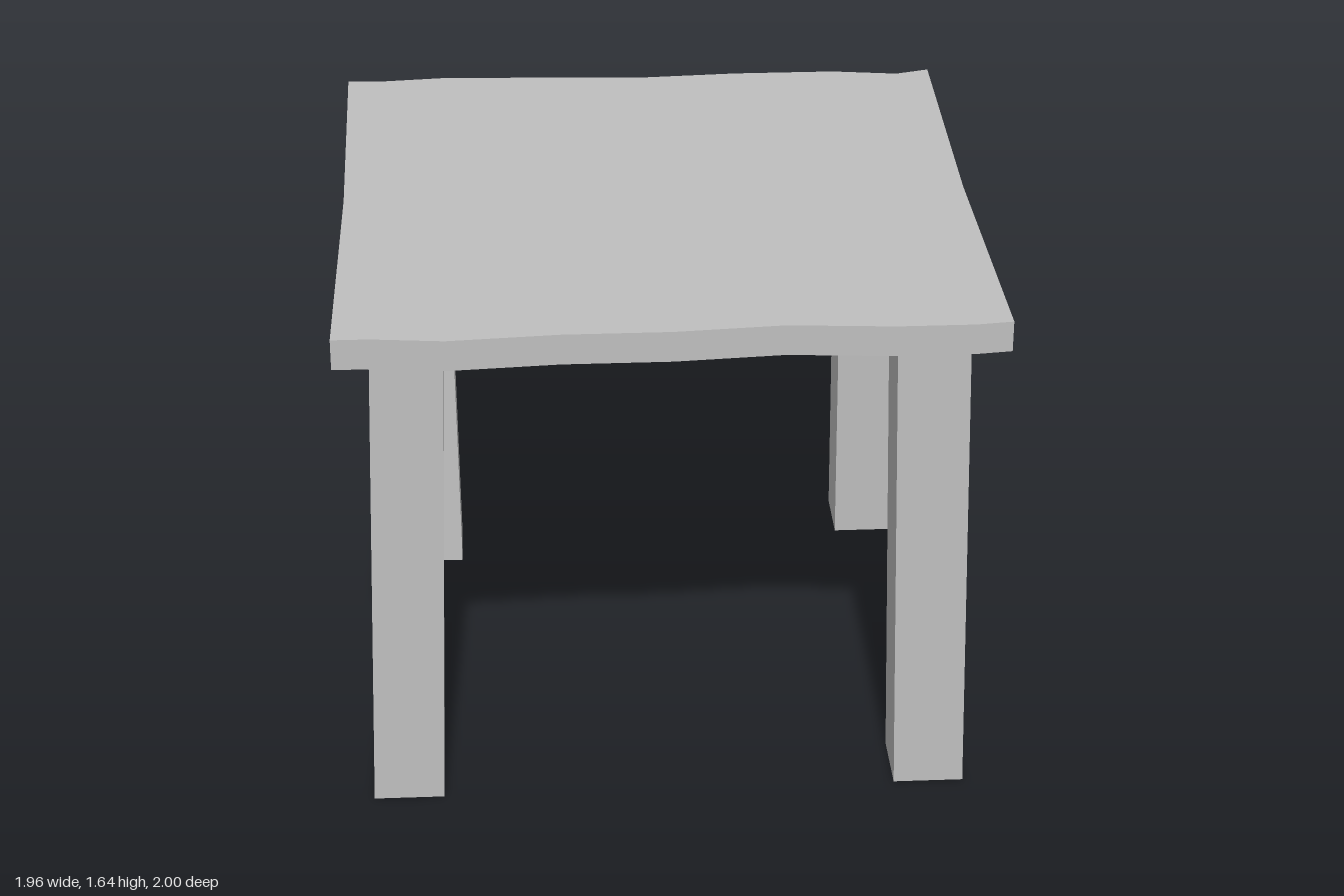
import * as THREE from 'three';

export function createModel() {
  const model = new THREE.Group();
  const grey = new THREE.MeshStandardMaterial({ color: 0xbfbfbf });
  grey.name = 'plainGrey';
  grey.flatShading = true;

  const topY = 1.64, underY = 1.545;

  // Slab with wavy front and back edges and slightly pinched sides, as [x, z]
  const outline = [
    [-0.98, 0.973], [-0.87, 0.973], [-0.655, 0.997], [-0.325, 0.973], [0, 0.973],
    [0.325, 0.948], [0.64, 0.973], [0.87, 0.973], [0.98, 0.96],
    [0.966, 0],
    [0.98, -0.987], [0.87, -0.955], [0.655, -0.987], [0.325, -0.987], [0, -0.967],
    [-0.325, -0.985], [-0.655, -1], [-0.87, -0.98], [-0.98, -0.987],
    [-0.968, 0],
  ];
  const shape = new THREE.Shape(outline.map(([x, z]) => new THREE.Vector2(x, -z)));
  const slab = new THREE.ExtrudeGeometry(shape, { depth: topY - underY, bevelEnabled: false });
  slab.rotateX(-Math.PI / 2);
  const tabletop = new THREE.Mesh(slab, grey);
  tabletop.name = 'tabletop';
  tabletop.position.y = underY;
  model.add(tabletop);

  // Square leg whose foot is shifted sideways from its top
  function addLeg(name, topX, topZ, footX, footZ) {
    const geo = new THREE.BoxGeometry(0.216, underY, 0.216);
    geo.translate(0, underY / 2, 0);
    const p = geo.attributes.position;
    for (let i = 0; i < p.count; i++) {
      const t = p.getY(i) / underY;
      p.setX(i, p.getX(i) + THREE.MathUtils.lerp(footX, topX, t));
      p.setZ(i, p.getZ(i) + THREE.MathUtils.lerp(footZ, topZ, t));
    }
    geo.computeVertexNormals();
    const leg = new THREE.Mesh(geo, grey);
    leg.name = name;
    model.add(leg);
  }
  addLeg('frontLeftLeg', 0.767, 0.76, 0.807, 0.757);
  addLeg('frontRightLeg', -0.768, 0.76, -0.812, 0.762);
  addLeg('backLeftLeg', 0.767, -0.766, 0.787, -0.827);
  addLeg('backRightLeg', -0.768, -0.766, -0.75, -0.693);

  return model;
}
